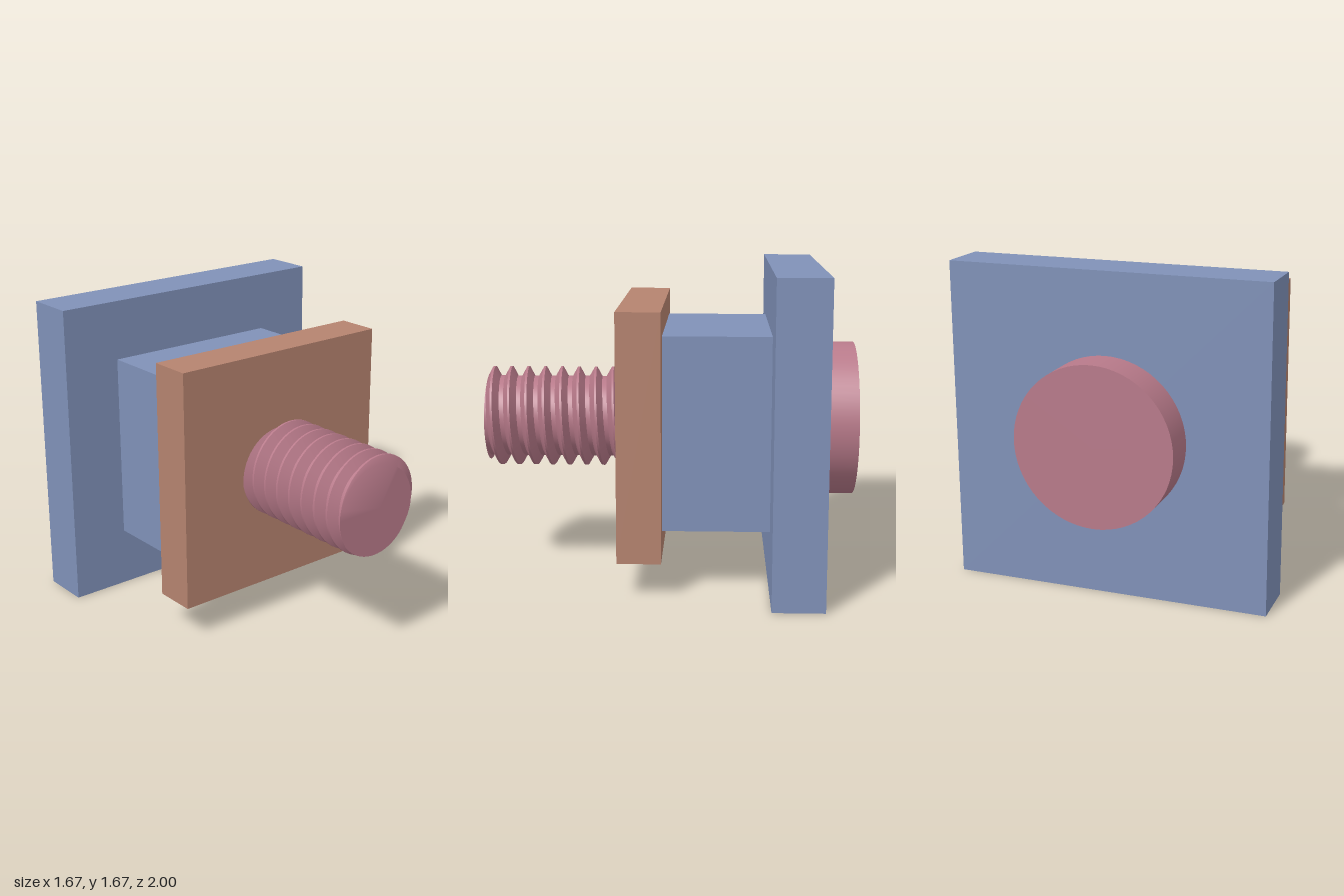
import * as THREE from 'three';
import { toCreasedNormals } from 'three/addons/utils/BufferGeometryUtils.js';

const AXIS_Y = 0.8375;

// Right-handed screw thread along +z, cut flat at both ends
function threadGeometry(zStart, zEnd, rRoot, rCrest, pitch, crestZ, segments = 64) {
  // One pitch of the profile: [fraction of pitch from the crest centre, radius]
  const profile = [
    [-0.5, rRoot], [-0.375, rRoot], [-0.0625, rCrest],
    [0.0625, rCrest], [0.375, rRoot], [0.5, rRoot],
  ];
  const radiusAt = (t) => {
    const f = t - Math.round(t);
    const k = Math.max(1, profile.findIndex((p) => p[0] >= f));
    const [a, ra] = profile[k - 1];
    const [b, rb] = profile[k];
    return ra + (rb - ra) * (f - a) / (b - a);
  };

  // Breakpoints along the axis, in pitches from the first crest
  const steps = [];
  const first = Math.floor((zStart - crestZ) / pitch) - 2;
  const last = Math.ceil((zEnd - crestZ) / pitch) + 1;
  for (let n = first; n <= last; n++) {
    for (const f of [-0.375, -0.0625, 0.0625, 0.375]) steps.push(n + f);
  }

  const positions = [];
  const index = [];
  const rows = steps.length;
  for (let i = 0; i <= segments; i++) {
    const angle = (i / segments) * Math.PI * 2;
    const phase = crestZ + pitch * i / segments;
    for (const s of steps) {
      const z = THREE.MathUtils.clamp(phase + s * pitch, zStart, zEnd);
      const r = radiusAt((z - phase) / pitch);
      positions.push(r * Math.cos(angle), r * Math.sin(angle), z);
    }
  }
  const back = positions.length / 3;
  positions.push(0, 0, zStart, 0, 0, zEnd);
  for (let i = 0; i < segments; i++) {
    const a = i * rows;
    const b = a + rows;
    for (let j = 0; j < rows - 1; j++) {
      index.push(a + j, b + j, b + j + 1, a + j, b + j + 1, a + j + 1);
    }
    // End caps
    index.push(back, b, a, back + 1, a + rows - 1, b + rows - 1);
  }
  const geometry = new THREE.BufferGeometry();
  geometry.setAttribute('position', new THREE.Float32BufferAttribute(positions, 3));
  geometry.setIndex(index);
  return toCreasedNormals(geometry, Math.PI / 6);
}

export function createModel() {
  const model = new THREE.Group();
  const blue = new THREE.MeshStandardMaterial({ color: 0x8091b8 });
  const brown = new THREE.MeshStandardMaterial({ color: 0xb5836f });
  const pink = new THREE.MeshStandardMaterial({ color: 0xb87a8a });

  const add = (parent, name, geometry, material, z = 0) => {
    const mesh = new THREE.Mesh(geometry, material);
    mesh.name = name;
    mesh.position.set(0, AXIS_Y, z);
    parent.add(mesh);
  };
  const squarePlate = (parent, name, width, z0, z1, material) =>
    add(parent, name, new THREE.BoxGeometry(width, width, z1 - z0), material, (z0 + z1) / 2);

  // Flanged body: wide rear plate and narrower block
  const body = new THREE.Group();
  body.name = 'body';
  squarePlate(body, 'flange', 1.675, -0.81, -0.537, blue);
  squarePlate(body, 'block', 1.024, -0.537, 0.025, blue);
  model.add(body);

  // Square nut plate
  squarePlate(model, 'nutPlate', 1.3, 0.025, 0.255, brown);

  // Bolt: round head at the back, threaded shank at the front
  const bolt = new THREE.Group();
  bolt.name = 'bolt';
  const head = new THREE.CylinderGeometry(0.417, 0.417, 0.19, 64).rotateX(Math.PI / 2);
  add(bolt, 'boltHead', head, pink, -0.905);
  add(bolt, 'threadedShank', threadGeometry(0.2, 1, 0.221, 0.273, 0.0938, 0.95), pink);
  model.add(bolt);

  return model;
}
